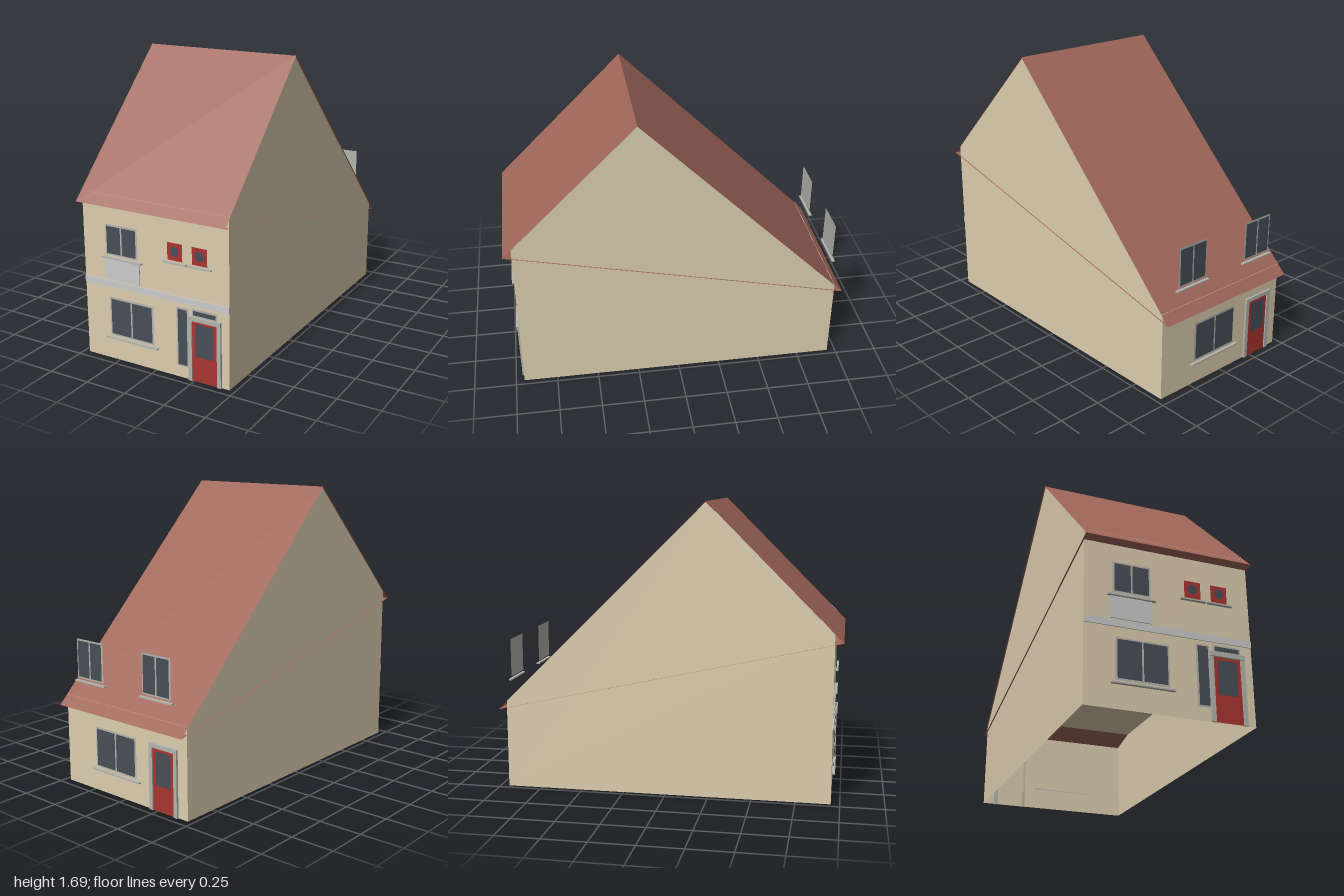
import * as THREE from 'three';

const mat = (color) => new THREE.MeshStandardMaterial({ color, side: THREE.DoubleSide });

export function createModel() {
  const house = new THREE.Group();
  house.name = 'house';
  const plaster = mat(0xdccdaf), tile = mat(0xa0665a), red = mat(0xa83530);
  const glass = mat(0x484d56), trim = mat(0xb4b4ae), grey = mat(0xcccccc);
  const W = 0.468, D = 0.95; // half width and half depth of the walls

  const add = (parent, name, geometry, material, x = 0, y = 0, z = 0) => {
    const m = new THREE.Mesh(geometry, material);
    m.name = name;
    m.position.set(x, y, z);
    parent.add(m);
    return m;
  };
  // flat rectangle facing +z, given by its edges
  const panel = (parent, name, material, x0, x1, y0, y1, z) =>
    add(parent, name, new THREE.PlaneGeometry(x1 - x0, y1 - y0), material, (x0 + x1) / 2, (y0 + y1) / 2, z);
  // block standing out from the wall plane by depth d
  const block = (parent, name, material, x0, x1, y0, y1, d) =>
    add(parent, name, new THREE.BoxGeometry(x1 - x0, y1 - y0, d), material, (x0 + x1) / 2, (y0 + y1) / 2, D + d / 2);

  // Walls: two gables, front, back and the ceiling; open underneath
  const walls = new THREE.Group();
  walls.name = 'walls';
  house.add(walls);
  const gable = new THREE.Shape([[D, 0], [D, 0.973], [0.23, 1.686], [-D, 0.517], [-D, 0]]
    .map(([z, y]) => new THREE.Vector2(-z, y)));
  for (const s of [-1, 1]) {
    add(walls, s > 0 ? 'leftGable' : 'rightGable', new THREE.ShapeGeometry(gable), plaster, s * W).rotation.y = Math.PI / 2;
  }
  panel(walls, 'frontWall', plaster, -W, W, 0, 0.973, D);
  panel(walls, 'backWall', plaster, -W, W, 0, 0.517, -D).rotation.y = Math.PI;
  add(walls, 'ceiling', new THREE.PlaneGeometry(2 * W, 2 * D), plaster, 0, 0.52, 0).rotation.x = Math.PI / 2;

  // Roof: front slope, back slope and sloping underside, open at the ends
  const roof = new THREE.Group();
  roof.name = 'roof';
  house.add(roof);
  const corners = [[1, 0.922], [0.23, 1.69], [-1, 0.468]];
  ['frontSlope', 'backSlope', 'underside'].forEach((name, i) => {
    const [z0, y0] = corners[i], [z1, y1] = corners[(i + 1) % 3];
    const slope = add(roof, name, new THREE.PlaneGeometry(0.95, Math.hypot(z1 - z0, y1 - y0)), tile,
      0, (y0 + y1) / 2, (z0 + z1) / 2);
    slope.rotation.x = Math.atan2(z1 - z0, y1 - y0);
  });

  // Window of n panes in a flat frame, with an optional sill
  const window_ = (parent, name, x0, x1, y0, y1, n, sill) => {
    const g = new THREE.Group();
    g.name = name;
    parent.add(g);
    panel(g, 'frame', trim, x0, x1, y0, y1, D + 0.006);
    const b = 0.01, w = (x1 - x0 - b * (n + 1)) / n;
    for (let i = 0; i < n; i++) {
      const x = x0 + b + i * (w + b);
      panel(g, 'pane', glass, x, x + w, y0 + b, y1 - b, D + 0.009);
    }
    if (sill) block(g, 'sill', trim, x0 - sill, x1 + sill, y0 - 0.02, y0 - 0.012, 0.018);
  };

  // Door with jambs, lintel and glazed panel, centred on x
  const door = (parent, x, lintelDepth) => {
    const g = new THREE.Group();
    g.name = 'door';
    parent.add(g);
    panel(g, 'doorLeaf', red, x - 0.078, x + 0.078, 0, 0.358, D + 0.005);
    panel(g, 'doorGlass', glass, x - 0.055, x + 0.055, 0.15, 0.34, D + 0.008);
    for (const s of [-1, 1]) {
      const a = x + s * 0.078, c = x + s * 0.102;
      block(g, 'jamb', trim, Math.min(a, c), Math.max(a, c), 0, 0.36, 0.012);
    }
    block(g, 'lintel', trim, x - 0.102, x + 0.102, 0.358, 0.382, lintelDepth);
  };

  // Front face
  const front = new THREE.Group();
  front.name = 'frontFace';
  house.add(front);
  block(front, 'band', grey, -W, W, 0.44, 0.478, 0.006);
  block(front, 'balconyPanel', grey, -0.325, -0.095, 0.485, 0.612, 0.006);
  window_(front, 'upperWindow', -0.315, -0.103, 0.63, 0.808, 2, 0.027);
  window_(front, 'lowerWindow', -0.3, -0.008, 0.15, 0.38, 2, 0.027);
  window_(front, 'sideLight', 0.142, 0.22, 0.07, 0.417, 1);
  window_(front, 'transom', 0.24, 0.4, 0.38, 0.425, 1);
  door(front, 0.318, 0.018);
  for (const x of [0.138, 0.292]) {
    panel(front, 'redWindow', red, x - 0.047, x + 0.047, 0.675, 0.774, D + 0.005);
    add(front, 'roundPane', new THREE.CircleGeometry(0.028, 24), glass, x, 0.727, D + 0.008);
    block(front, 'redWindowSill', trim, x - 0.073, x + 0.073, 0.659, 0.667, 0.018);
  }

  // Back face, drawn facing +z and turned round
  const back = new THREE.Group();
  back.name = 'backFace';
  back.rotation.y = Math.PI;
  house.add(back);
  window_(back, 'lowerWindow', -0.225, 0.095, 0.145, 0.38, 2, 0.027);
  door(back, 0.298, 0.012);
  for (const x of [-0.257, 0.257]) {
    window_(back, 'upperWindow', x - 0.105, x + 0.105, 0.642, 0.87, 2, 0.015);
  }
  return house;
}
